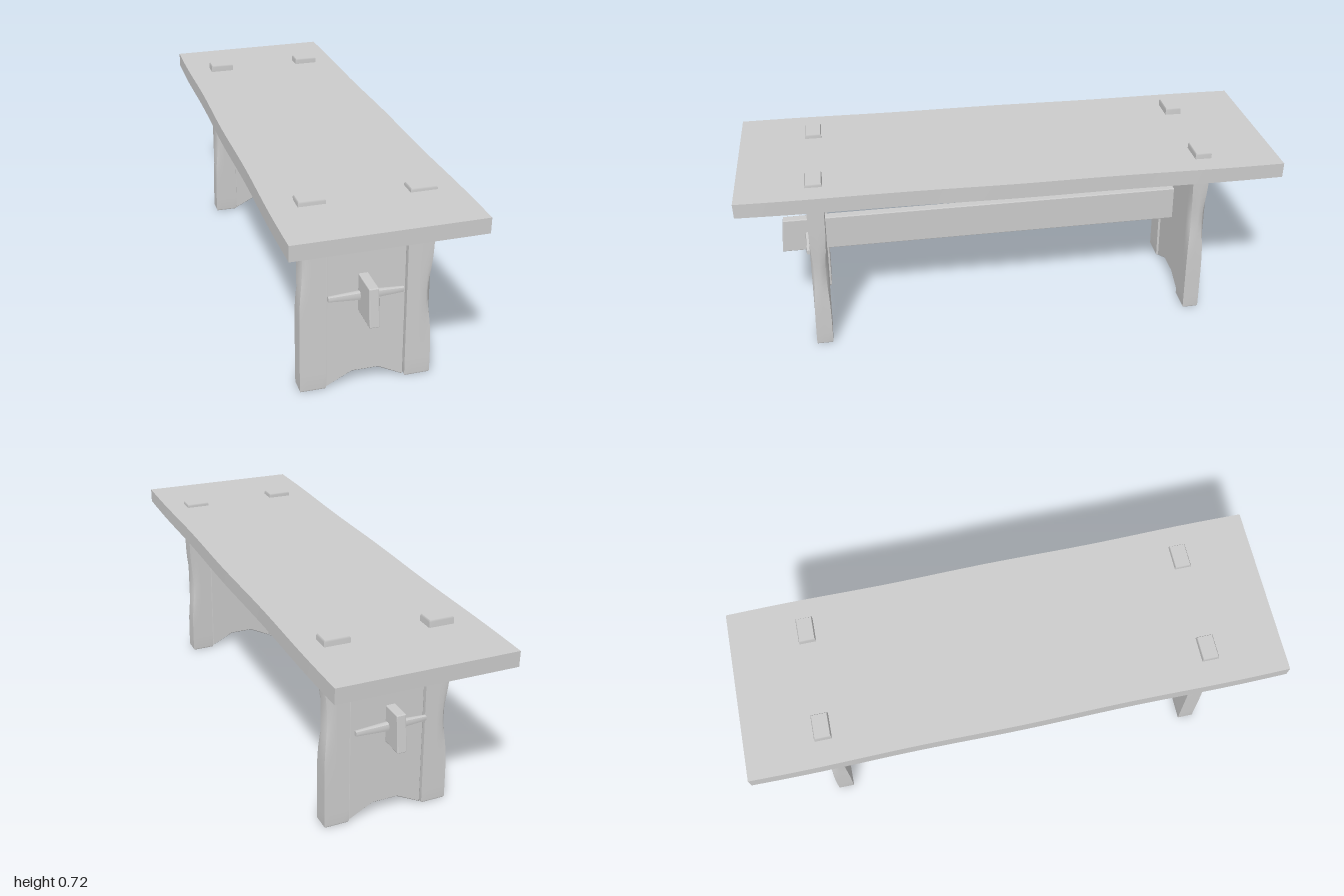
import * as THREE from 'three';
import { RoundedBoxGeometry } from 'three/addons/geometries/RoundedBoxGeometry.js';

const material = new THREE.MeshStandardMaterial({ color: 0xcccccc });

// Moves every vertex of a geometry by a rule
function reshape(geometry, rule) {
  const p = geometry.attributes.position;
  const v = new THREE.Vector3();
  for (let i = 0; i < p.count; i++) {
    v.fromBufferAttribute(p, i);
    rule(v);
    p.setXYZ(i, v.x, v.y, v.z);
  }
  geometry.computeVertexNormals();
  return geometry;
}

function part(name, geometry) {
  const mesh = new THREE.Mesh(geometry, material);
  mesh.name = name;
  return mesh;
}

// Hand-hewn plank: slightly tilted and sagging underneath
function makeSeat() {
  return part('seat', reshape(new THREE.BoxGeometry(0.655, 1, 2, 8, 1, 24), (v) => {
    const tilt = 0.01 * v.x;
    if (Math.abs(v.x) > 0.32) v.x -= Math.sign(v.x) * 0.004 * Math.sin(v.z * 4) ** 2;
    v.y = v.y > 0
      ? 0.698 + 0.007 * v.z + tilt
      : 0.642 + 0.008 * v.z + tilt - 0.004 * (1 - v.z * v.z);
  }));
}

// Upright post whose top shows through the seat as a tenon; its outer corners are worn
function makeStile(name, x0, x1, wearHeight, lean) {
  const height = 0.718, rows = 24, width = x1 - x0, outer = Math.sign(x0 + x1);
  const geometry = new THREE.BoxGeometry(width, height, 0.062, 4, rows, 2);
  reshape(geometry, (v) => {
    const isOuterCorner = v.x * outer > width * 0.49 && Math.abs(v.z) > 0.03;
    let y = v.y + height / 2;
    const row = Math.round((y / height) * rows);
    if (row === 1) y = 0.006;
    if (row === rows - 1) y = height - 0.006;
    if (row === 0 || row === rows) {
      v.x *= 0.93;
      v.z *= 0.9;
    }
    if (isOuterCorner) {
      const wear = Math.exp(-(((y - wearHeight) / 0.11) ** 2));
      v.x -= outer * 0.015 * wear;
      v.z *= 1 - 0.3 * wear;
    }
    v.x += (x0 + x1) / 2;
    v.y = y;
    v.z += lean(y);
  });
  return part(name, geometry);
}

// Board between the posts with a notched foot
function makePanel(lean) {
  const b = 0.004;
  const shape = new THREE.Shape([
    [-0.135 + b, 0.003 + b], [-0.042, 0.057 - b], [0.055, 0.057 - b],
    [0.149 - b, 0.003 + b], [0.149 - b, 0.62 - b], [-0.135 + b, 0.62 - b],
  ].map(([x, y]) => new THREE.Vector2(x, y)));
  const depth = 0.04;
  const geometry = new THREE.ExtrudeGeometry(shape, {
    depth, bevelEnabled: true, bevelSize: b, bevelThickness: b, bevelSegments: 1,
  });
  return part('panel', reshape(geometry, (v) => { v.z += lean(v.y) - depth / 2; }));
}

// Tapered key driven through the stretcher, resting on the outer face
function makePeg(z) {
  const geometry = new RoundedBoxGeometry(0.268, 0.034, 0.028, 2, 0.004);
  // Each half narrows toward its end
  const half = (side) => {
    const g = new THREE.BoxGeometry(0.134, 0.034, 0.028, 4, 2, 2);
    return reshape(g, (v) => {
      v.x += side * 0.067;
      const taper = 1 - 0.42 * Math.abs(v.x) / 0.134;
      if (Math.abs(v.y) > 0.016 && Math.abs(v.z) > 0.013) {
        v.y *= 0.8;
        v.z *= 0.8;
      }
      v.y = 0.357 + v.y * taper;
      v.z = z + v.z * taper;
    });
  };
  geometry.dispose();
  const group = new THREE.Group();
  group.name = 'peg';
  group.add(part('pegLeft', half(1)), part('pegRight', half(-1)));
  return group;
}

// Long rail through both leg panels, with slanted ends
function makeStretcher() {
  return part('stretcher', reshape(new RoundedBoxGeometry(0.035, 0.14, 1.7, 1, 0.003), (v) => {
    const slant = 0.008 - 0.11 * v.y;
    v.z += v.z > 0 ? 0.018 + slant : 0.026 - slant;
    v.x -= 0.005;
    v.y += 0.36;
  }));
}

function makeLeg(name, lean, pegZ, wearRight, wearLeft) {
  const group = new THREE.Group();
  group.name = name;
  group.add(
    makeStile('rightStile', -0.231, -0.137, wearRight, lean),
    makeStile('leftStile', 0.151, 0.245, wearLeft, lean),
    makePanel(lean),
    makePeg(pegZ),
  );
  return group;
}

export function createModel() {
  const model = new THREE.Group();
  model.name = 'bench';
  // Both legs lean toward the middle as they rise
  model.add(
    makeSeat(),
    makeStretcher(),
    makeLeg('frontLeg', (y) => 0.747 - 0.032 * y, 0.775, 0.48, 0.32),
    makeLeg('backLeg', (y) => -0.733 + 0.026 * y, -0.762, 0.34, 0.42),
  );
  return model;
}
